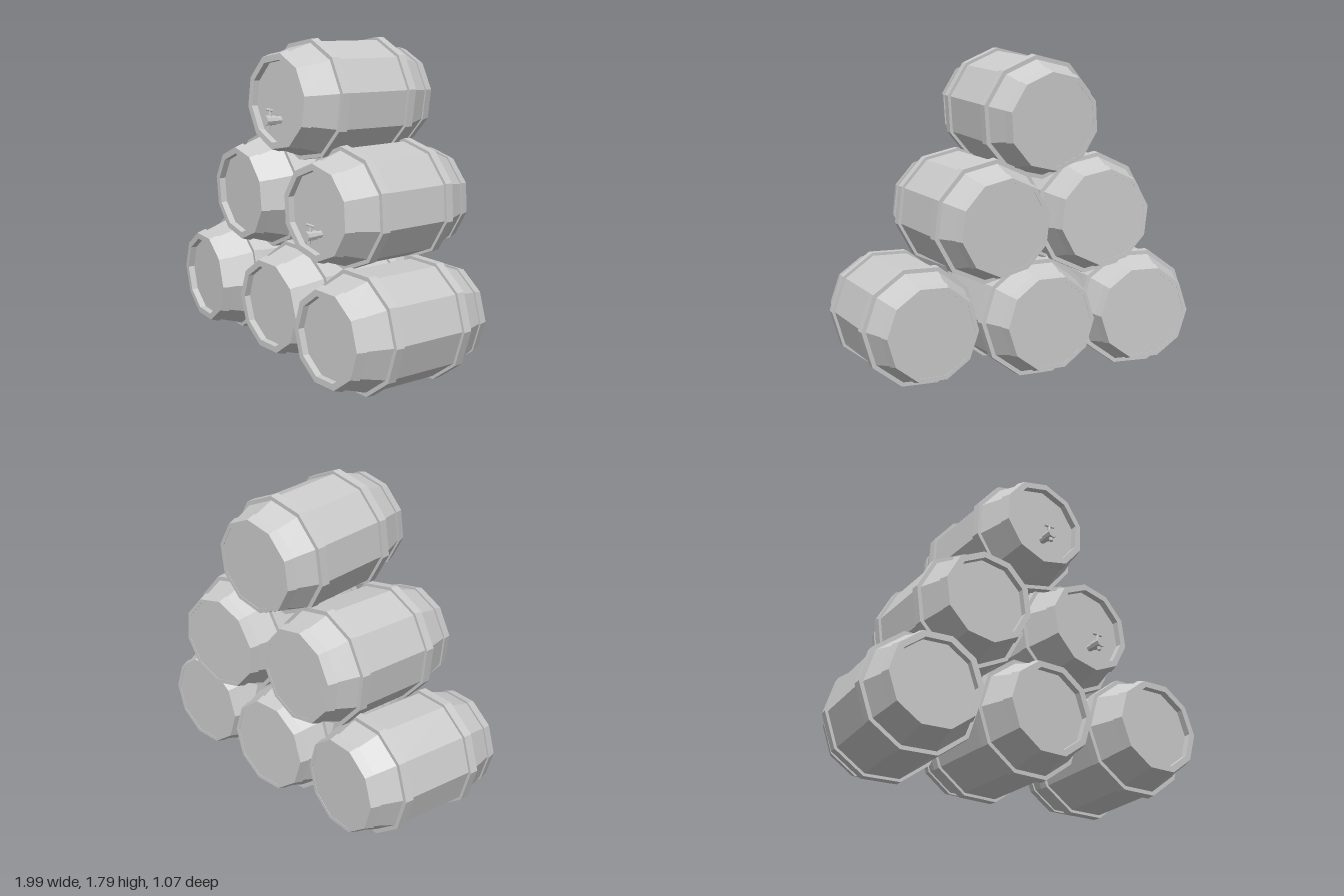
import * as THREE from 'three';

const SIDES = 10;
const rad = THREE.MathUtils.degToRad;
const material = new THREE.MeshStandardMaterial({ color: 0xcccccc, flatShading: true });

// Revolves [radius, z] points (back to front) around the z axis
function turned(points, name) {
  const profile = points.map(([r, z]) => new THREE.Vector2(r, z));
  const geometry = new THREE.LatheGeometry(profile, SIDES).rotateX(Math.PI / 2);
  const mesh = new THREE.Mesh(geometry, material);
  mesh.name = name;
  return mesh;
}

// Band with a closed rectangular section
function hoop(z0, z1, inner, r0, r1, name) {
  return turned([[inner, z0], [r0, z0], [r1, z1], [inner, z1], [inner, z0]], name);
}

function createCask() {
  const cask = new THREE.Group();
  cask.name = 'cask';
  cask.add(
    // Staves, flat back and recessed front lid
    turned([
      [0, -0.44], [0.25, -0.44], [0.321, -0.24], [0.321, 0.22],
      [0.25, 0.44], [0.226, 0.44], [0.226, 0.405], [0, 0.405],
    ], 'staves'),
    hoop(-0.265, -0.215, 0.3, 0.336, 0.338, 'backBellyHoop'),
    hoop(0.195, 0.245, 0.3, 0.338, 0.336, 'frontBellyHoop'),
    hoop(-0.442, -0.39, 0.24, 0.262, 0.278, 'backEndHoop'),
    hoop(0.39, 0.442, 0.226, 0.278, 0.262, 'frontEndHoop'),
  );
  return cask;
}

// Tap: pipe and collar along z, spout below, handle above
function createTap() {
  const tap = new THREE.Group();
  tap.name = 'tap';
  const rod = (name, r0, r1, length, x, y, z, rx = 0, rz = 0) => {
    const mesh = new THREE.Mesh(new THREE.CylinderGeometry(r0, r1, length, 8), material);
    mesh.name = name;
    mesh.position.set(x, y, z);
    mesh.rotation.set(rx, 0, rz);
    tap.add(mesh);
  };
  rod('pipe', 0.02, 0.02, 0.06, 0, 0, 0.43, Math.PI / 2);
  rod('collar', 0.028, 0.026, 0.065, 0, 0, 0.473, Math.PI / 2);
  rod('spout', 0.014, 0.011, 0.04, 0, -0.023, 0.485);
  rod('stem', 0.008, 0.01, 0.04, 0, 0.036, 0.475);
  rod('handle', 0.007, 0.007, 0.062, 0, 0.056, 0.475, 0, Math.PI / 2);
  return tap;
}

export function createModel() {
  const stack = new THREE.Group();
  stack.name = 'barrelStack';

  // Position, yaw, upward pitch, roll (degrees) and optional tap position
  const barrels = [
    { name: 'bottomLeftBarrel', at: [0.66, 0.334, 0.082], yaw: 0.6, pitch: 1.4, roll: -17 },
    { name: 'bottomMiddleBarrel', at: [0.01, 0.332, -0.01], yaw: 0.8, pitch: 0, roll: -18 },
    { name: 'bottomRightBarrel', at: [-0.627, 0.332, -0.025], yaw: -6.8, pitch: 0, roll: -18 },
    { name: 'middleLeftBarrel', at: [0.33, 0.905, -0.085], yaw: 2.5, pitch: 2, roll: 6, tap: [0.015, -0.115] },
    { name: 'middleRightBarrel', at: [-0.318, 0.9, -0.065], yaw: -3.6, pitch: 0, roll: 7 },
    { name: 'topBarrel', at: [0.025, 1.45, -0.067], yaw: 0.6, pitch: 3, roll: -5, tap: [0, -0.1] },
  ];

  for (const { name, at, yaw, pitch, roll, tap } of barrels) {
    const barrel = new THREE.Group();
    barrel.name = name;
    barrel.position.set(...at);
    barrel.rotation.set(rad(-pitch), rad(yaw), 0, 'YXZ');
    const cask = createCask();
    cask.rotation.z = rad(roll);
    barrel.add(cask);
    if (tap) {
      const fitting = createTap();
      fitting.position.set(tap[0], tap[1], 0);
      barrel.add(fitting);
    }
    stack.add(barrel);
  }
  return stack;
}
